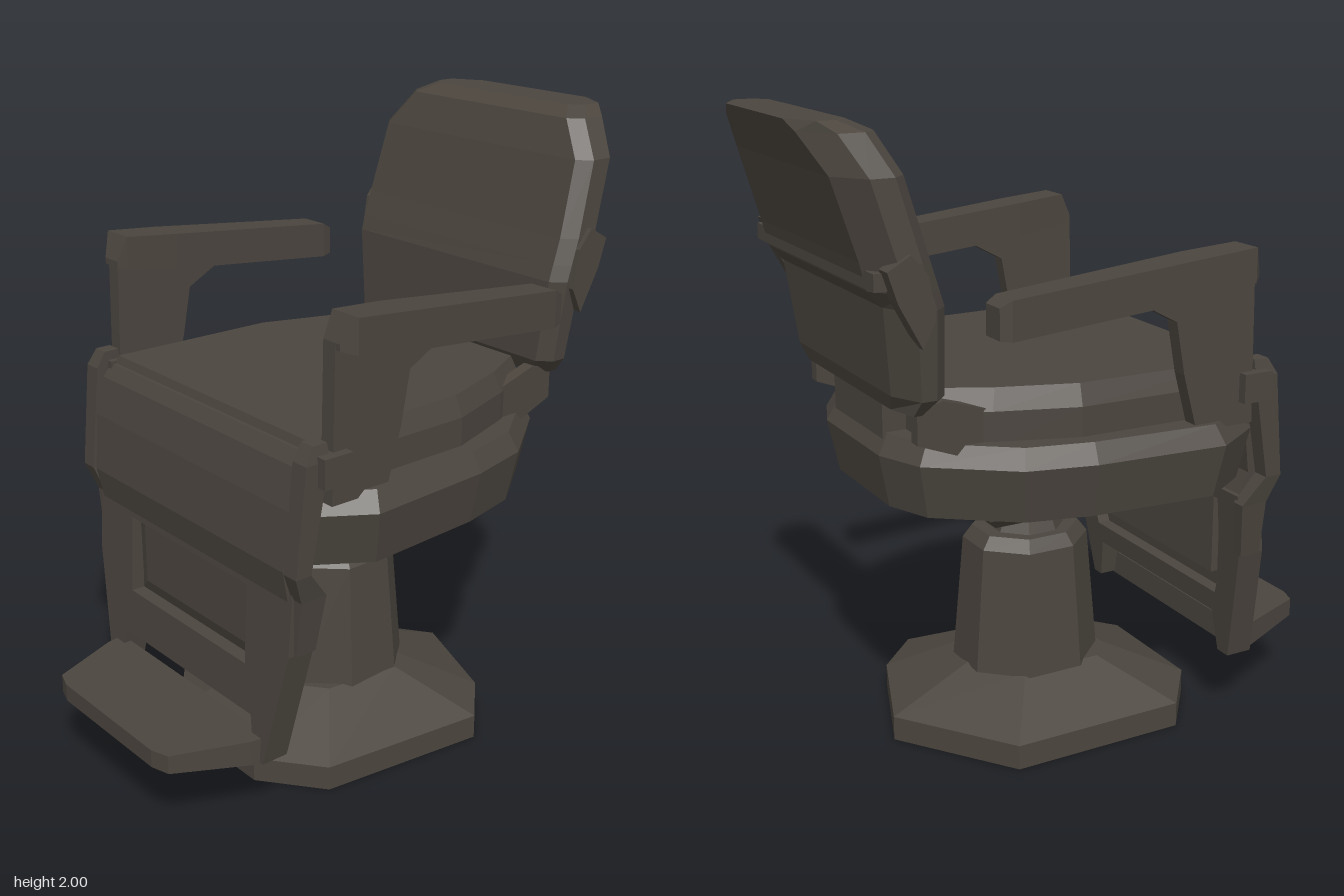
import * as THREE from 'three';

const leather = new THREE.MeshStandardMaterial({ color: 0x4b453e });
leather.name = 'dark brown';

// Solid through a list of rings; faces are oriented outward by signed volume
function loft(rings) {
  const tris = [], n = rings[0].length;
  const centre = r => [0, 1, 2].map(k => r.reduce((s, p) => s + p[k], 0) / n);
  for (let i = 0; i < rings.length - 1; i++) {
    for (let j = 0; j < n; j++) {
      const k = (j + 1) % n, a = rings[i], b = rings[i + 1];
      tris.push([a[j], a[k], b[k]], [a[j], b[k], b[j]]);
    }
  }
  const first = rings[0], last = rings[rings.length - 1], c0 = centre(first), c1 = centre(last);
  for (let j = 0; j < n; j++) {
    const k = (j + 1) % n;
    tris.push([c0, first[k], first[j]], [c1, last[j], last[k]]);
  }
  let volume = 0;
  for (const [a, b, c] of tris) {
    volume += a[0] * (b[1] * c[2] - b[2] * c[1]) + a[1] * (b[2] * c[0] - b[0] * c[2]) + a[2] * (b[0] * c[1] - b[1] * c[0]);
  }
  if (volume < 0) tris.forEach(t => t.reverse());
  const g = new THREE.BufferGeometry();
  g.setAttribute('position', new THREE.Float32BufferAttribute(tris.flat(2), 3));
  g.computeVertexNormals();
  return g;
}

// Mirror a half outline of [x, z] (front to back) into a full one
const mirrorOutline = half => [...half, ...half.slice().reverse().map(([x, z]) => [-x, z])];

// Stack an [x, z] outline at levels of [y, scale]
const stack = (outline, levels) =>
  loft(levels.map(([y, s]) => outline.map(([x, z]) => [x * s, y, z * s])));

// Four-sided bar through rows of [y, x0, x1, front z, back z]
const bar = rows => loft(rows.map(([y, x0, x1, f, b]) => [[x0, y, f], [x1, y, f], [x1, y, b], [x0, y, b]]));

// Side profile of [z, y] points given a width from x0 to x1
function sideProfile(points, x0, x1) {
  const shape = new THREE.Shape(points.map(([z, y]) => new THREE.Vector2(-z, y)));
  const g = new THREE.ExtrudeGeometry(shape, { depth: x1 - x0, bevelEnabled: false });
  return g.rotateY(Math.PI / 2).translate(x0, 0, 0);
}

function box(x0, x1, y0, y1, z0, z1) {
  return new THREE.BoxGeometry(x1 - x0, y1 - y0, z1 - z0)
    .translate((x0 + x1) / 2, (y0 + y1) / 2, (z0 + z1) / 2);
}

// Eight-sided tapering section of the pedestal
function octagon(rBottom, rTop, y0, y1, sx = 1, sz = 1) {
  return new THREE.CylinderGeometry(rTop, rBottom, y1 - y0, 8).toNonIndexed()
    .rotateY(Math.PI / 8).scale(sx, 1, sz).translate(0, (y0 + y1) / 2, 0);
}

// Upright plate with a hole, leaning slightly back towards the top
function leaningPlate(outline, hole, z0, depth) {
  const v = pts => pts.map(([x, y]) => new THREE.Vector2(x, y));
  const shape = new THREE.Shape(v(outline));
  shape.holes.push(new THREE.Path(v(hole)));
  const g = new THREE.ExtrudeGeometry(shape, { depth, bevelEnabled: false });
  const p = g.attributes.position;
  for (let i = 0; i < p.count; i++) p.setZ(i, p.getZ(i) + z0 - (p.getY(i) - 0.24) * 0.08);
  return g;
}

export function createModel() {
  const model = new THREE.Group();
  model.name = 'barberChair';
  const add = (name, geometry, parent = model) => {
    geometry.computeVertexNormals();
    const mesh = new THREE.Mesh(geometry, leather);
    mesh.name = name;
    parent.add(mesh);
    return mesh;
  };

  // Uneven eight-sided foot
  const foot = [[-0.4, 0.32], [-0.21, 0.47], [0.2, 0.47], [0.39, 0.32], [0.46, -0.24], [0.31, -0.39], [-0.04, -0.52], [-0.4, -0.26]];
  add('base', stack(foot, [[0, 1], [0.08, 1], [0.2, 0.46]]));

  // Pedestal, slightly off centre
  const pedestal = new THREE.Group();
  pedestal.name = 'pedestal';
  pedestal.position.set(0, 0, -0.02);
  model.add(pedestal);
  add('column', octagon(0.235, 0.2, 0.19, 0.6, 0.95, 1.03), pedestal);
  add('columnCap', octagon(0.2, 0.17, 0.6, 0.64, 0.95, 1.03), pedestal);
  add('pistonNeck', octagon(0.13, 0.1, 0.63, 0.7), pedestal);
  add('mountBlock', bar([[0.68, -0.1, 0.1, 0.14, -0.16], [0.72, -0.14, 0.14, 0.2, -0.2],
    [0.87, -0.15, 0.15, 0.21, -0.21]]), pedestal);

  // Seat frame and cushion
  const frame = mirrorOutline([[0.5, 0.49], [0.61, 0.32], [0.58, -0.1], [0.53, -0.31], [0.35, -0.55], [0.2, -0.61]]);
  add('seatFrame', stack(frame, [[0.855, 0.95], [1.02, 1.005], [1.08, 0.95]]));
  const cushion = mirrorOutline([[0.49, 0.48], [0.48, -0.1], [0.4, -0.34], [0.32, -0.5]]);
  add('seatCushion', stack(cushion, [[1.06, 1.03], [1.17, 1.03], [1.235, 0.98]]));
  add('backSupport', box(-0.18, 0.18, 1.0, 1.21, -0.59, -0.47));

  // Backrest from rows of [y, half width, front z, back z]
  const backRows = [
    [1.19, 0.41, -0.53, -0.62], [1.24, 0.45, -0.5, -0.635], [1.5, 0.48, -0.51, -0.665],
    [1.55, 0.48, -0.525, -0.71], [1.63, 0.48, -0.55, -0.73], [1.86, 0.465, -0.615, -0.8],
    [1.97, 0.38, -0.66, -0.855], [2.0, 0.33, -0.72, -0.87]];
  add('backrest', loft(backRows.map(([y, w, f, b]) => mirrorOutline(
    [[w - 0.04, f], [w, f - 0.04], [w, (f + b) / 2 - 0.02], [w - 0.1, b]]).map(([x, z]) => [x, y, z]))));
  add('backRail', box(-0.45, 0.45, 1.56, 1.61, -0.72, -0.66));

  // Parts repeated on both sides
  for (const [side, s] of [['left', 1], ['right', -1]]) {
    const addSide = (name, geometry) => {
      if (s < 0) {
        geometry = geometry.index ? geometry.toNonIndexed() : geometry;
        geometry.scale(-1, 1, 1);
        // Swap two corners of each face so the mirrored part faces outward
        const p = geometry.attributes.position;
        for (let i = 0; i < p.count; i += 3) {
          const a = [p.getX(i), p.getY(i), p.getZ(i)];
          p.setXYZ(i, p.getX(i + 1), p.getY(i + 1), p.getZ(i + 1));
          p.setXYZ(i + 1, ...a);
        }
      }
      add(side + name, geometry);
    };
    // Rows of [z, inner x, outer x, bottom y, top y]
    addSide('Armrest', loft([
      [0.44, 0.51, 0.58, 1.51, 1.53], [0.405, 0.505, 0.615, 1.5, 1.605], [0.23, 0.49, 0.615, 1.475, 1.59],
      [-0.38, 0.49, 0.59, 1.415, 1.53], [-0.415, 0.5, 0.58, 1.42, 1.51],
    ].map(([z, xi, xo, y0, y1]) => [[xi, y0, z], [xo, y0, z], [xo, y1, z], [xi, y1, z]])));
    addSide('ArmUpright', sideProfile(
      [[0.44, 1.53], [0.45, 1.06], [0.25, 1.06], [0.2, 1.24], [0.17, 1.4], [0.06, 1.46], [0.1, 1.49]], 0.51, 0.56));
    addSide('ArmPivot', box(0.48, 0.59, 1.13, 1.22, 0.4, 0.5));
    addSide('SideRail', sideProfile(
      [[0.1, 1.17], [-0.3, 1.16], [-0.5, 1.22], [-0.58, 1.2], [-0.58, 1.1], [-0.45, 1.05], [0.1, 1.07]], 0.36, 0.4));
    addSide('BackBracket', sideProfile(
      [[-0.56, 1.48], [-0.58, 1.6], [-0.63, 1.66], [-0.7, 1.62], [-0.67, 1.53], [-0.6, 1.4]], 0.44, 0.495));
    addSide('LegStrut', bar([[1.25, 0.5, 0.55, 0.51, 0.46], [1.2, 0.5, 0.56, 0.54, 0.46],
      [0.87, 0.5, 0.555, 0.575, 0.52], [0.78, 0.49, 0.535, 0.54, 0.45], [0.6, 0.47, 0.51, 0.54, 0.47]]));
  }

  // Upper calf pad
  add('calfPad', bar([
    [1.21, -0.49, 0.49, 0.49, 0.44], [1.17, -0.5, 0.5, 0.52, 0.45], [1.05, -0.5, 0.5, 0.55, 0.47],
    [0.87, -0.49, 0.49, 0.57, 0.5], [0.77, -0.485, 0.485, 0.55, 0.46]]));

  // Lower leg panel standing on two feet: front plate with recess, and a frame behind it
  const outline = [[-0.42, 0.215], [-0.365, 0.215], [-0.34, 0.35], [0.34, 0.35], [0.365, 0.215], [0.41, 0.215],
    [0.5, 0.6], [0.5, 0.8], [-0.5, 0.8], [-0.5, 0.6]];
  add('legPanel', leaningPlate(outline, [[-0.31, 0.5], [-0.32, 0.75], [0.29, 0.75], [0.3, 0.5]], 0.545, 0.045));
  add('legPanelFrame', leaningPlate(outline,
    [[-0.36, 0.42], [-0.42, 0.6], [-0.42, 0.76], [0.42, 0.76], [0.42, 0.6], [0.36, 0.42]], 0.5, 0.045));
  add('legPanelInset', loft([[0.49, 0.33, 0.48, 0.76], [0.515, 0.33, 0.48, 0.76], [0.535, 0.27, 0.54, 0.74]].map(
    ([z, w, y0, y1]) => [[-w, y0, z], [w, y0, z], [w, y1, z], [-w, y1, z]])));

  // Foot plate
  const plate = mirrorOutline([[0.24, 0.87], [0.3, 0.85], [0.39, 0.62], [0.4, 0.56]]);
  add('footPlate', loft([0, 1].map(top => plate.map(([x, z]) =>
    [x, top ? 0.295 : 0.21 + Math.max(0, z - 0.57) * 0.09, z]))));

  return model;
}
